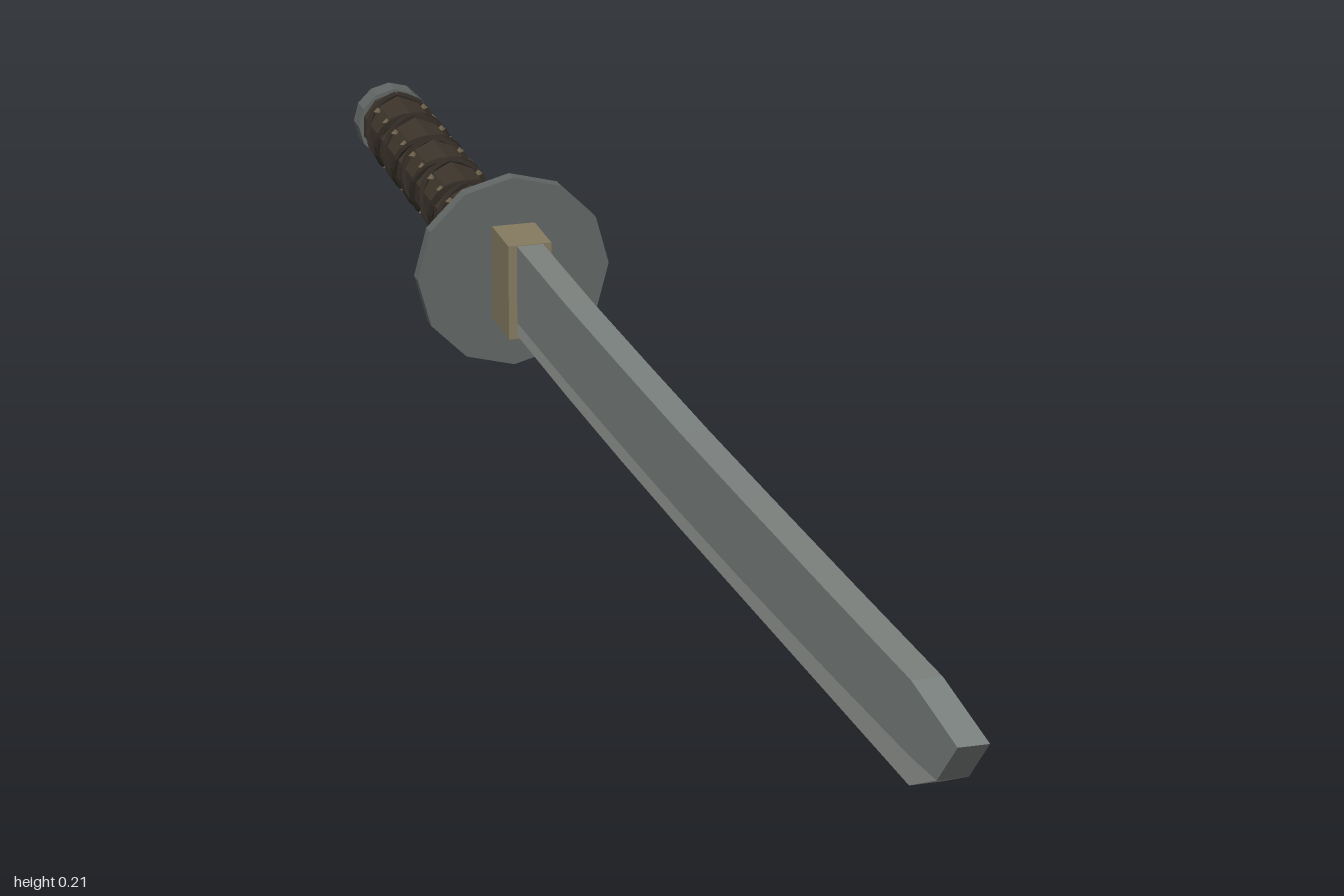
import * as THREE from 'three';

const CY = 0.103; // height of the guard and grip axis

function mat(color) {
  return new THREE.MeshStandardMaterial({ color, flatShading: true });
}

function add(parent, name, geometry, material) {
  const mesh = new THREE.Mesh(geometry, material);
  mesh.name = name;
  parent.add(mesh);
  return mesh;
}

// Extrude a (z, y) side profile evenly to both sides of x = 0
function slab(points, width) {
  const shape = new THREE.Shape(points.map(([z, y]) => new THREE.Vector2(z, y)));
  const geo = new THREE.ExtrudeGeometry(shape, { depth: width, bevelEnabled: false });
  geo.translate(0, 0, -width / 2);
  return geo.rotateY(-Math.PI / 2);
}

// Cylinder along z between two z values
function rod(radius, z0, z1, sides) {
  const geo = new THREE.CylinderGeometry(radius, radius, z1 - z0, sides);
  geo.rotateX(Math.PI / 2);
  return geo.translate(0, CY, (z0 + z1) / 2);
}

export function createModel() {
  const group = new THREE.Group();
  const steel = mat(0x7c827f);
  const edgeSteel = mat(0x979c98);
  const iron = mat(0x626765);
  const brass = mat(0x857b60);
  const leather = mat(0x3d352b);
  const cord = mat(0x2f2923);
  const studMat = mat(0x6b5f4a);

  // Blade: gently curved spine, ridge line and cutting edge
  const spine = [[-0.42, 0.154], [-0.2, 0.156], [0, 0.161], [0.2, 0.167], [0.4, 0.175], [0.65, 0.186], [0.88, 0.197], [1, 0.187]];
  const ridge = [[0.95, 0.136], [0.88, 0.128], [0.65, 0.112], [0.4, 0.097], [0.2, 0.087], [0, 0.08], [-0.2, 0.074], [-0.42, 0.07]];
  const edge = [[-0.42, 0.056], [-0.2, 0.059], [0, 0.064], [0.2, 0.071], [0.4, 0.08], [0.65, 0.091], [0.88, 0.101]];
  add(group, 'bladeBody', slab([...spine, ...ridge], 0.028), steel);
  add(group, 'bladeEdge', slab([...edge, ...ridge], 0.028), edgeSteel);

  // Collar between blade and guard
  const collar = new THREE.BoxGeometry(0.046, 0.102, 0.075);
  collar.translate(0, 0.104, -0.428);
  add(group, 'collar', collar, brass);

  // Twelve-sided guard
  add(group, 'guard', rod(0.103, -0.473, -0.457, 12), iron);

  // Grip core and end cap
  add(group, 'grip', rod(0.037, -0.98, -0.47, 10), leather);
  add(group, 'pommel', rod(0.041, -1, -0.975, 12), iron);

  // Cord wound around the grip in both directions
  const z0 = -0.48, length = 0.485, turns = 6;
  for (const dir of [1, -1]) {
    const points = [];
    const count = turns * 10;
    for (let i = 0; i <= count; i++) {
      const a = dir * (i / 10) * Math.PI * 2;
      points.push(new THREE.Vector3(Math.sin(a) * 0.037, CY + Math.cos(a) * 0.037, z0 - length * i / count));
    }
    const path = new THREE.CatmullRomCurve3(points);
    add(group, dir > 0 ? 'cordWrap' : 'crossCordWrap', new THREE.TubeGeometry(path, count * 2, 0.0045, 5), cord);
  }

  // Small studs in rows between the cords
  const studs = new THREE.Group();
  studs.name = 'gripStuds';
  group.add(studs);
  const studGeo = new THREE.OctahedronGeometry(0.005);
  for (let row = 0; row < 4; row++) {
    const a = (row + 0.5) * Math.PI / 2;
    for (let i = 0; i < 12; i++) {
      const stud = add(studs, 'stud', studGeo, studMat);
      stud.position.set(Math.sin(a) * 0.037, CY + Math.cos(a) * 0.037, z0 - length * (i + 0.5) / 12);
    }
  }
  return group;
}
